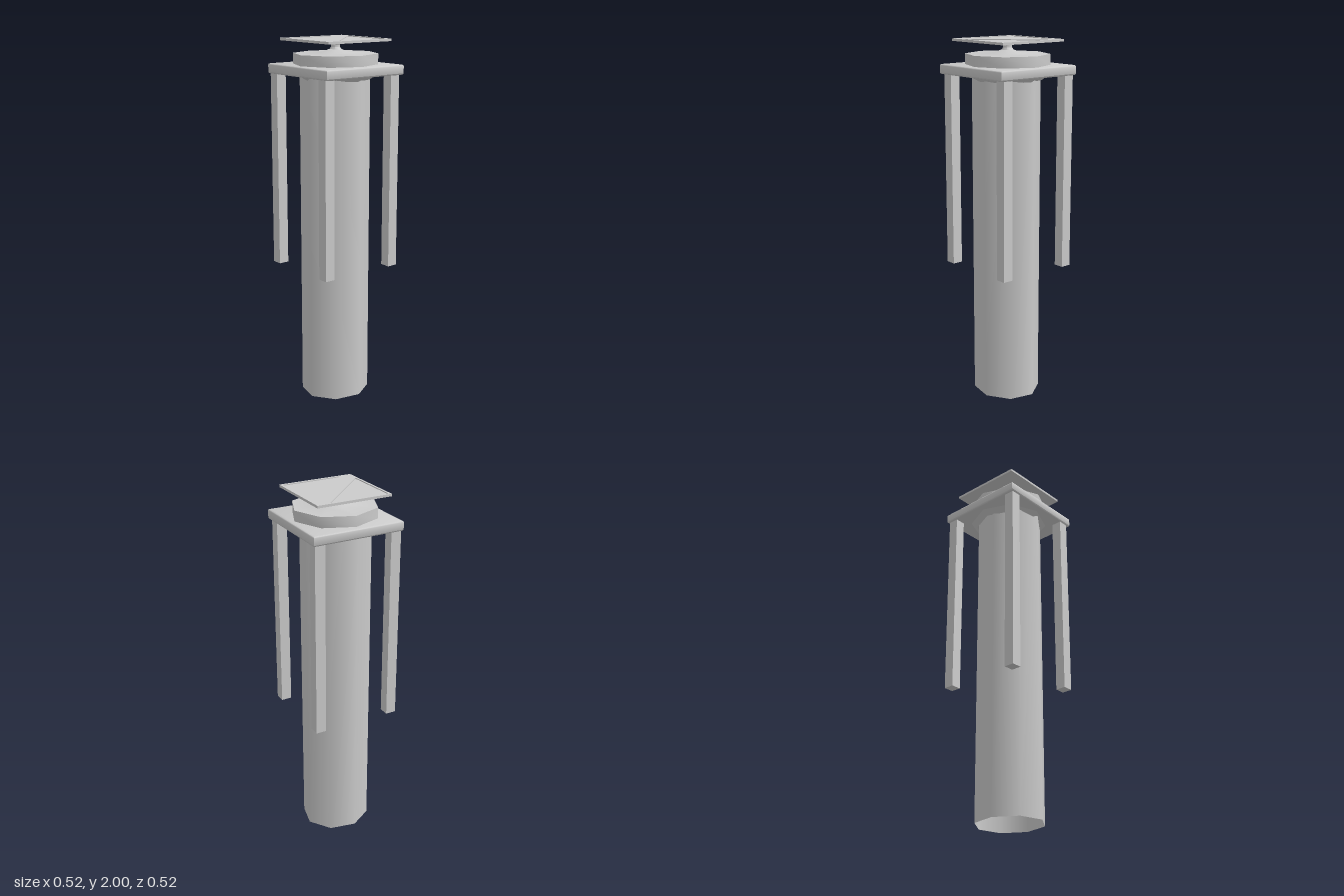
import * as THREE from 'three';
import { toCreasedNormals } from 'three/addons/utils/BufferGeometryUtils.js';

const material = new THREE.MeshStandardMaterial({ color: 0xcccccc, side: THREE.DoubleSide });

function part(name, geometry, x = 0, y = 0, z = 0) {
  const mesh = new THREE.Mesh(geometry, material);
  mesh.name = name;
  mesh.position.set(x, y, z);
  return mesh;
}

// Eight-sided turned shape from [radius, height] pairs, listed bottom to top
function turned(profile, scaleX = 1, scaleZ = 1) {
  const points = profile.map(([r, y]) => new THREE.Vector2(r, y));
  const geometry = new THREE.LatheGeometry(points, 8);
  geometry.scale(scaleX, 1, scaleZ);
  return toCreasedNormals(geometry, 0.9);
}

function polygon(corners, Type = THREE.Shape) {
  return new Type(corners.map(([x, y]) => new THREE.Vector2(x, y)));
}

// Flat slab lying in the ground plane; shape y points to the back
function slab(shape, depth, bevel = 0) {
  const geometry = new THREE.ExtrudeGeometry(shape, {
    depth: depth - 2 * bevel, bevelEnabled: bevel > 0,
    bevelSize: bevel, bevelThickness: bevel, bevelOffset: -bevel, bevelSegments: 2,
  });
  geometry.translate(0, 0, bevel);
  geometry.rotateX(-Math.PI / 2);
  return toCreasedNormals(geometry, 0.9);
}

const square = (h) => polygon([[-h, -h], [h, -h], [h, h], [-h, h]]);

export function createModel() {
  const model = new THREE.Group();
  model.name = 'pillar';

  // Open octagonal column, slightly turned
  const column = new THREE.CylinderGeometry(0.194, 0.194, 1.82, 8, 1, true, Math.PI / 18);
  column.scale(1, 1, 0.93);
  model.add(part('column', column, -0.006, 0.91, 0.004));

  // Collar under the square slab
  model.add(part('collar', turned([[0.185, 1.785], [0.225, 1.815]])));

  // Square slab with softened edges
  model.add(part('slab', slab(square(0.258), 0.054, 0.008), 0, 1.811, 0));

  // Four hanging posts
  const posts = new THREE.Group();
  posts.name = 'posts';
  for (const x of [-0.222, 0.218]) {
    for (const z of [-0.217, 0.206]) {
      posts.add(part('post', new THREE.BoxGeometry(0.058, 1.07, 0.058), x, 1.285, z));
    }
  }
  model.add(posts);

  // Drum with a shallow cone on top, then the thin neck
  model.add(part('drum', turned([
    [0.232, 1.86], [0.232, 1.922], [0.085, 1.925], [0.03, 1.945], [0, 1.945],
  ], 1, 0.97)));
  model.add(part('neck', turned([
    [0.036, 1.94], [0.024, 1.955], [0.024, 1.968], [0.036, 1.975], [0.038, 1.989],
  ])));

  // Thin square top: solid base under a frame with two triangular openings
  const top = new THREE.Group();
  top.name = 'topPlate';
  const frame = square(0.211);
  frame.holes.push(
    polygon([[-0.199, 0.199], [0.136, 0.199], [-0.199, -0.131]], THREE.Path),
    polygon([[0.198, 0.136], [0.198, -0.197], [-0.137, -0.197]], THREE.Path),
  );
  top.add(part('plateBase', slab(square(0.211), 0.008), 0, 1.987, 0));
  top.add(part('plateFrame', slab(frame, 0.005), 0, 1.995, 0));
  model.add(top);

  return model;
}
